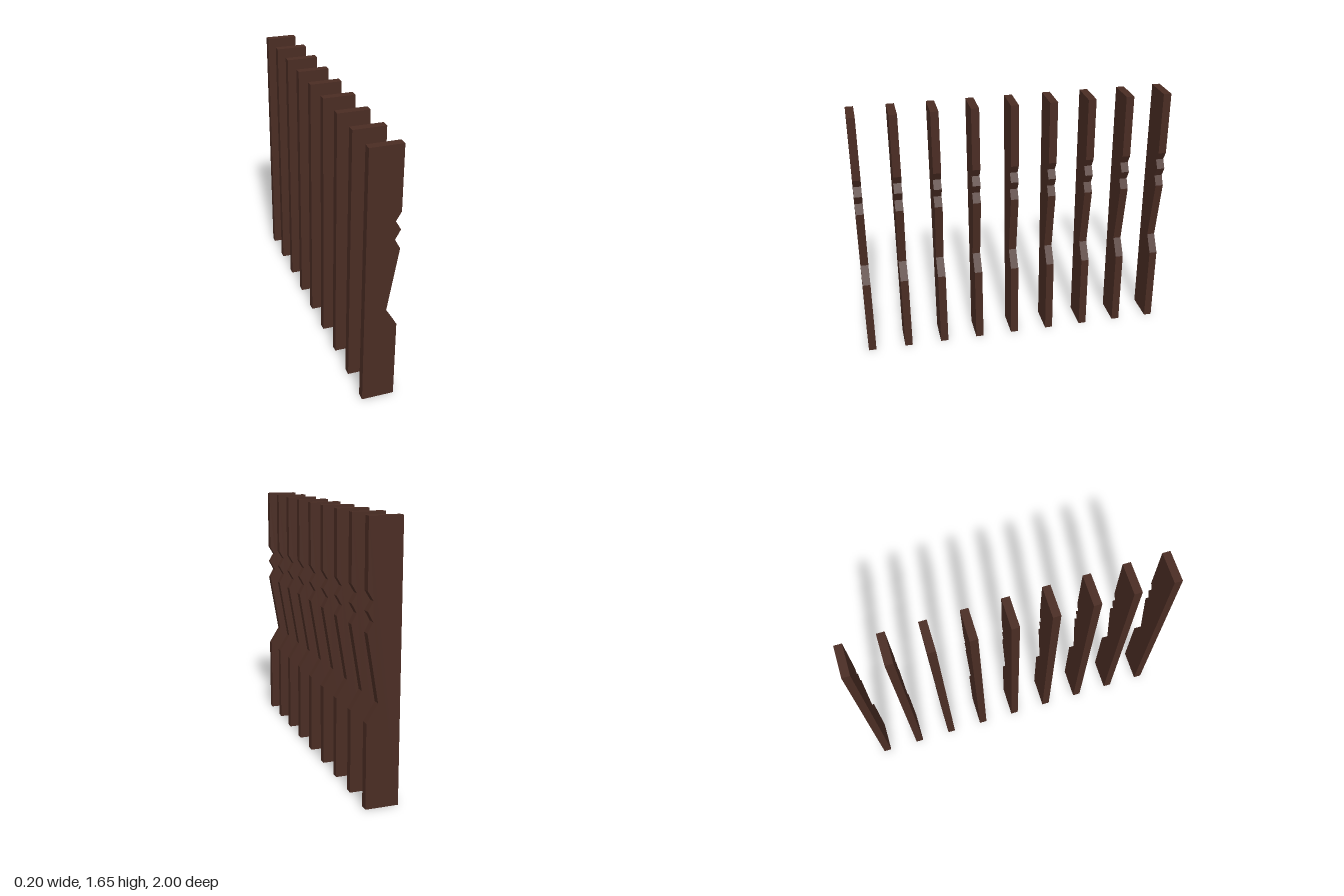
import * as THREE from 'three';

const SLATS = 9, THICK = 0.05, SPAN = 1.95;

export function createModel() {
  const group = new THREE.Group();
  group.name = 'slatScreen';
  const darkWood = new THREE.MeshStandardMaterial({ color: 0x4a2c23 });
  darkWood.name = 'darkWood';

  // Board outline, with the carved edge on +x
  const outline = new THREE.Shape([
    [-0.1, 0], [0.1, 0], [0.1, 0.51], [0.032, 0.62], [0.1, 1.02],
    [0.067, 1.08], [0.1, 1.14], [0.067, 1.195], [0.1, 1.25], [0.1, 1.65], [-0.1, 1.65],
  ].map(([x, y]) => new THREE.Vector2(x, y)));
  const board = new THREE.ExtrudeGeometry(outline, { depth: THICK, bevelEnabled: false });
  board.translate(0, 0, -THICK / 2);

  // Evenly spaced row of identical slats
  for (let i = 0; i < SLATS; i++) {
    const slat = new THREE.Mesh(board, darkWood);
    slat.name = `slat${i + 1}`;
    slat.position.z = SPAN * (i / (SLATS - 1) - 0.5);
    group.add(slat);
  }
  return group;
}
